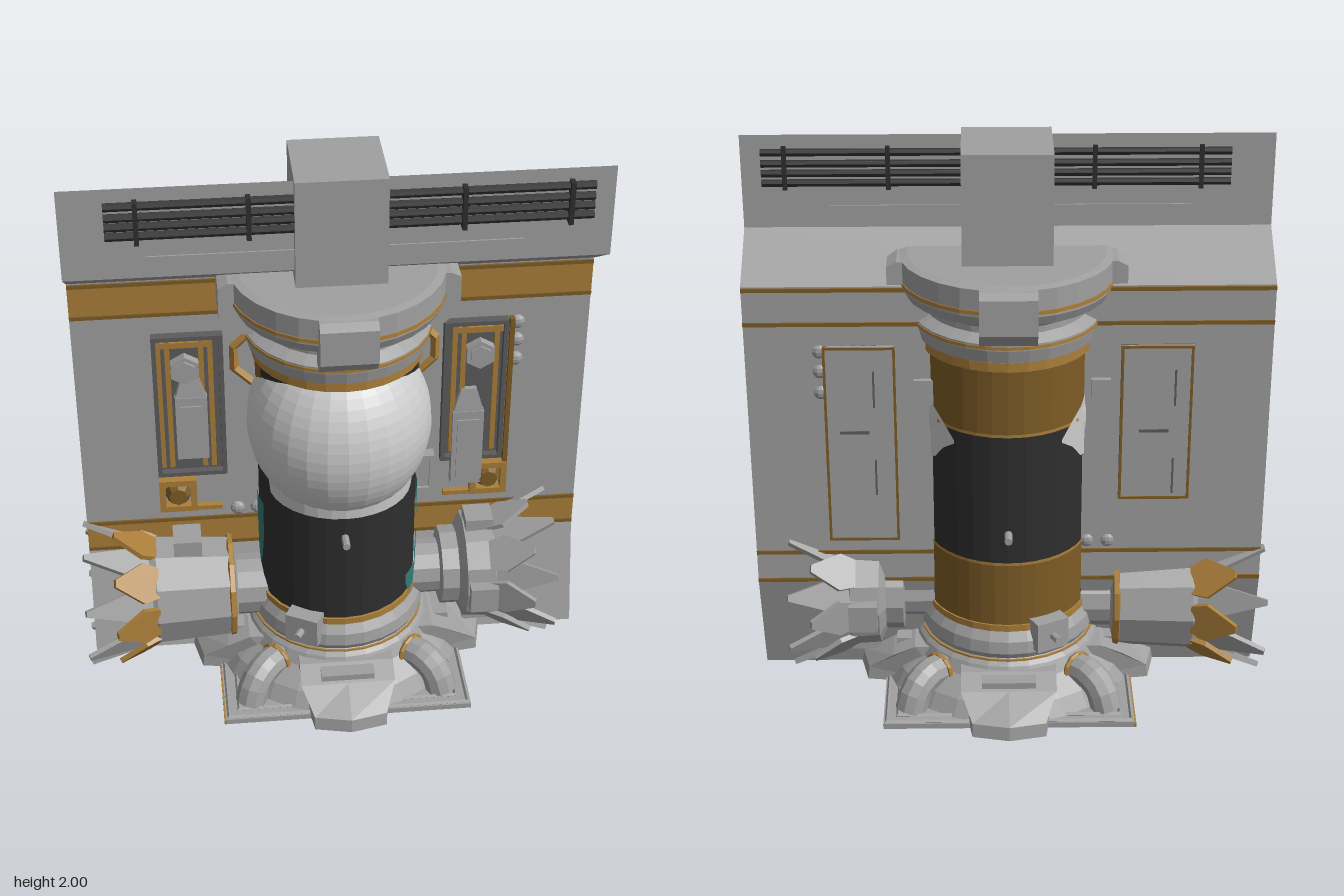
import * as THREE from 'three';

const mat = (color) => new THREE.MeshStandardMaterial({ color, flatShading: true, side: THREE.DoubleSide });
const GREY = mat(0xa0a0a0), GOLD = mat(0xab7f3a), BRONZE = mat(0x7d5c26),
  BLACK = mat(0x2e2e2e), WHITE = mat(0xffffff), TEAL = mat(0x347a75), DARK = mat(0x5c5c5c);
const AXIS = 0.015; // tower axis in x

function add(parent, name, geo, material, x = 0, y = 0, z = 0) {
  const m = new THREE.Mesh(geo, material);
  m.name = name;
  m.position.set(x, y, z);
  parent.add(m);
  return m;
}
function group(parent, name, x = 0, y = 0, z = 0) {
  const g = new THREE.Group();
  g.name = name;
  g.position.set(x, y, z);
  parent.add(g);
  return g;
}
// box given by its limits
const box = (p, name, m, x0, x1, y0, y1, z0, z1) =>
  add(p, name, new THREE.BoxGeometry(x1 - x0, y1 - y0, z1 - z0), m, (x0 + x1) / 2, (y0 + y1) / 2, (z0 + z1) / 2);
const lathe = (pts, n) => new THREE.LatheGeometry(pts.map((p) => new THREE.Vector2(...p)), n);
const outline = (pts) => new THREE.Shape(pts.map((p) => new THREE.Vector2(...p)));
const deg = THREE.MathUtils.degToRad;
// open piece of cylinder wall
const arc = (r, y0, y1, a0, a1, n = 14) =>
  new THREE.CylinderGeometry(r, r, y1 - y0, n, 1, true, deg(a0), deg(a1 - a0)).translate(0, (y0 + y1) / 2, 0);
// four thin bars around a rectangle
function frame(p, name, m, x0, x1, y0, y1, z0, z1, t) {
  const g = group(p, name);
  for (const x of [x0, x1 - t]) box(g, name + 'Side', m, x, x + t, y0, y1, z0, z1);
  for (const y of [y0, y1 - t]) box(g, name + 'Rail', m, x0 + t, x1 - t, y, y + t, z0, z1);
}

function buildWall(root) {
  const wall = group(root, 'backWall');
  // folded sheet: upright sign board, sloping shoulder, flat middle, leaning foot
  const folds = [[0.1, 1.99], [0.1, 1.7], [-0.09, 1.58], [-0.09, 0.57], [0, 0.22]];
  const sheet = new THREE.PlaneGeometry(1.6, 1, 1, folds.length - 1);
  const p = sheet.attributes.position;
  for (let i = 0; i < p.count; i++) {
    const [z, y] = folds[Math.floor(i / 2)];
    p.setXYZ(i, p.getX(i) + 0.01, y, z);
  }
  add(wall, 'wallSheet', sheet, GREY);
  for (const [y0, y1] of [[1.46, 1.57], [0.58, 0.68]]) {
    add(wall, 'goldBand', new THREE.PlaneGeometry(1.6, y1 - y0), GOLD, 0.01, (y0 + y1) / 2, -0.087);
    for (const y of [y0, y1]) box(wall, 'bandEdge', BRONZE, -0.79, 0.81, y - 0.006, y + 0.006, -0.096, -0.083);
  }
  box(wall, 'signSlot', GREY, -0.55, 0.55, 1.73, 1.77, 0.095, 0.105);
  // pipes sunk halfway into the sign board
  for (const y of [1.84, 1.87, 1.9, 1.935])
    add(wall, 'pipe', new THREE.CylinderGeometry(0.0135, 0.0135, 1.41, 8).rotateZ(Math.PI / 2), BLACK, 0.045, y, 0.104);
  for (const x of [-0.57, -0.25, 0.37, 0.68]) box(wall, 'pipeClamp', BLACK, x - 0.007, x + 0.007, 1.82, 1.955, 0.09, 0.13);

  for (const [x0, x1, y0] of [[-0.55, -0.33, 0.87], [0.355, 0.575, 0.73]]) {
    const right = x0 > 0;
    const c = right ? 0.47 : -0.45;
    const bay = group(wall, 'wallBay');
    box(bay, 'bayBacking', DARK, x0, right ? 0.555 : x1, 0.87, 1.39, -0.09, -0.084);
    if (right) {
      box(bay, 'tallGoldPost', BRONZE, 0.56, 0.575, 0.73, 1.39, -0.1, -0.065);
      frame(bay, 'bayFrame', DARK, 0.355, 0.555, 0.87, 1.39, -0.09, -0.06, 0.014);
    } else frame(bay, 'bayFrame', DARK, x0, x1, y0, 1.39, -0.1, -0.06, 0.014);
    for (const dx of [-0.08, -0.052, 0.052, 0.08]) box(bay, 'goldRod', GOLD, c + dx - 0.008, c + dx + 0.008, 0.9, 1.37, -0.09, -0.07);
    box(bay, 'goldRodTop', GOLD, c - 0.08, c + 0.08, 1.345, 1.365, -0.09, -0.07);
    add(bay, 'hexNut', new THREE.CylinderGeometry(0.05, 0.05, 0.03, 6).rotateX(Math.PI / 2), GREY, c, 1.27, -0.07);
    add(bay, 'hexCore', new THREE.CylinderGeometry(0.036, 0.036, 0.01, 6).rotateX(Math.PI / 2), GREY, c, 1.27, -0.052);
    // canister with a tapered shoulder
    const [cx, cy0, cy1] = right ? [0.44, 0.78, 1.06] : [-0.435, 0.94, 1.17];
    box(bay, 'canister', GREY, cx - 0.05, cx + 0.05, cy0, cy1, -0.09, -0.055);
    box(bay, 'canisterFace', GREY, cx - 0.035, cx + 0.035, cy0 + 0.02, cy1 - 0.03, -0.06, -0.05);
    const neck = new THREE.CylinderGeometry(0.035, 0.068, 0.08, 4, 1).rotateY(Math.PI / 4).scale(1, 1, 0.35);
    add(bay, 'canisterShoulder', neck, GREY, cx, cy1 + 0.04, -0.074);
    // gold fitting at the foot of the bay
    const bx = right ? 0.515 : -0.49;
    frame(bay, 'goldBox', GOLD, bx - 0.06, bx + 0.06, 0.73, 0.85, -0.09, -0.06, 0.02);
    const knob = new THREE.CylinderGeometry(0.03, 0.045, 0.03, 8).rotateX(Math.PI / 2);
    add(bay, 'goldBoxKnob', knob, BRONZE, bx, 0.79, -0.07);
    box(bay, 'goldFootRail', GOLD, c - 0.1, c + 0.1, 0.725, 0.74, -0.09, -0.07);
    // rear hatch
    box(bay, 'rearHatch', GREY, x0, x1, y0, 1.39, -0.104, -0.092);
    frame(bay, 'rearHatchFrame', BRONZE, x0, x1, y0, 1.39, -0.108, -0.092, 0.008);
    box(bay, 'rearSlot', DARK, c - 0.03, c + 0.06, 1.1, 1.11, -0.107, -0.1);
    for (const y of [0.95, 1.25]) box(bay, 'rearSeam', DARK, c - 0.05, c - 0.044, y - 0.06, y + 0.06, -0.107, -0.1);
    // eight-sided frame beside the globe
    const octagon = new THREE.TorusGeometry(0.1, 0.015, 4, 8).rotateZ(Math.PI / 8);
    add(wall, 'goldOctagon', octagon, GOLD, right ? 0.235 : -0.205, 1.3, -0.075);
    box(wall, 'rearBox', GREY, right ? 0.24 : -0.3, right ? 0.3 : -0.24, 1.2, 1.28, -0.11, -0.092);
  }
  for (const [x, y] of [[0.585, 1.37], [0.585, 1.305], [0.585, 1.235], [-0.3, 0.715], [-0.235, 0.715]])
    add(wall, 'rivet', new THREE.SphereGeometry(0.024, 10, 6).scale(1, 1, 0.6), GREY, x, y, -0.085);
  frame(wall, 'smallBoxRim', GREY, 0.26, 0.335, 0.76, 0.9, -0.09, -0.05, 0.015);
  box(wall, 'smallBox', GREY, 0.27, 0.325, 0.77, 0.89, -0.09, -0.06);
}

function buildTower(root) {
  const t = group(root, 'tower', AXIS);
  add(t, 'column', new THREE.CylinderGeometry(0.25, 0.25, 0.95, 28), BLACK, 0, 0.925, 0);
  add(t, 'rearBronzeTop', arc(0.252, 1.16, 1.38, 72, 288, 20), BRONZE);
  add(t, 'rearBronzeBottom', arc(0.252, 0.5, 0.72, 112, 248), BRONZE);
  for (const [y, a] of [[1.16, 100], [0.72, 112]]) add(t, 'bronzeEdge', arc(0.254, y - 0.005, y + 0.005, a, 360 - a), GOLD);
  // globe bulging from the front of the column
  const globe = add(t, 'globe', new THREE.SphereGeometry(1, 28, 14, 0, Math.PI * 2, 0.74, 1.52), WHITE, 0, 1.15, 0.06);
  globe.scale.set(0.285, 0.31, 0.29);
  const collar = lathe([[0.24, 0.92], [0.28, 0.92], [0.285, 0.97], [0.24, 0.975]], 32);
  add(t, 'globeCollar', collar, WHITE, 0, 0, 0.08).scale.set(0.8, 1, 0.72);
  // white coat running to a ragged point behind the globe
  for (const s of [1, -1]) {
    const coat = arc(0.2545, 1.0, 1.3, 85, 140, 5);
    const p = coat.attributes.position;
    [[1.3, 0.98], [1.27, 1.0], [1.24, 1.02], [1.2, 1.03], [1.17, 1.08], [1.12, 1.11]].forEach(([top, low], i) => {
      p.setY(i, top);
      p.setY(i + 6, low);
    });
    add(t, 'whiteCoat', coat, WHITE).scale.x = s;
  }
  // teal stains wrapped on the column
  for (const [a, y0, y1, w] of [[83, 0.73, 0.86, 24], [64, 0.47, 0.58, 20], [80, 0.5, 0.66, 16], [-80, 0.59, 0.85, 18]]) {
    const g = arc(0.2555, y0, y1, a - w / 2, a + w / 2, 4);
    const p = g.attributes.position;
    for (let i = 0; i < 5; i++) p.setY(i + 5, p.getY(i + 5) + (y1 - y0) * [0.75, 0.2, 0, 0.1, 0.5][i]);
    add(t, 'tealStain', g, TEAL);
  }
  // bolts in the column, the lower pair on plates
  for (const [a, y] of [[0, 0.825], [180, 0.825], [-28, 0.47], [208, 0.47]]) {
    const g = group(t, 'bolt');
    g.rotation.y = deg(a);
    const plated = a % 180 !== 0;
    const rod = new THREE.CylinderGeometry(0.012, 0.012, 0.12, 8).rotateX(Math.PI / 2);
    add(g, 'boltRod', rod, GREY, 0, y, plated ? 0.275 : 0.24);
    if (plated) box(g, 'boltPlate', GREY, -0.055, 0.055, 0.42, 0.52, 0.22, 0.3);
  }
  // stacked collar rings and cap
  add(t, 'upperRings', lathe([[0.25, 1.4], [0.275, 1.41], [0.285, 1.45], [0.285, 1.47], [0.25, 1.49], [0.25, 1.51], [0.31, 1.54],
    [0.325, 1.57], [0.325, 1.655], [0.3, 1.66], [0, 1.66]], 28), GREY);
  const goldRing = (r, y0, y1) => add(t, 'goldRing', new THREE.CylinderGeometry(r, r, y1 - y0, 28), GOLD, 0, (y0 + y1) / 2, 0);
  goldRing(0.265, 1.375, 1.405);
  goldRing(0.288, 1.455, 1.465);
  goldRing(0.328, 1.578, 1.59);
  goldRing(0.258, 0.48, 0.502);
  goldRing(0.278, 0.375, 0.388);
  add(t, 'lowerRings', lathe([[0.4, 0.23], [0.37, 0.28], [0.31, 0.33], [0.29, 0.37], [0.27, 0.39], [0.28, 0.41],
    [0.275, 0.45], [0.255, 0.48], [0.2, 0.48]], 28), GREY);
  for (let i = 0; i < 4; i++) {
    const g = group(t, 'capLug');
    g.rotation.y = i * Math.PI / 2;
    const lug = new THREE.ExtrudeGeometry(outline([[0.26, 1.48], [0.31, 1.48], [0.36, 1.53], [0.36, 1.64], [0.33, 1.655], [0.26, 1.655]]),
      { depth: 0.17, bevelEnabled: false });
    add(g, 'lugBlock', lug.translate(0, 0, -0.085), GREY);
  }
  box(t, 'topBlock', GREY, -0.135, 0.135, 1.65, 2, -0.135, 0.135);
}

function buildBase(root) {
  const b = group(root, 'base', AXIS);
  box(b, 'basePlate', GREY, -0.395, 0.395, 0.212, 0.23, -0.395, 0.395);
  for (const s of [0.385, 0.35]) {
    const ring = add(b, 'plateStep', new THREE.TorusGeometry(s * Math.SQRT2, 0.008, 4, 4), GREY, 0, 0.231, 0);
    ring.rotation.set(Math.PI / 2, 0, Math.PI / 4);
  }
  box(b, 'goldPlateEdge', GOLD, -0.4, -0.393, 0.212, 0.225, -0.395, 0.395);
  for (let i = 0; i < 4; i++) {
    const q = group(b, 'baseQuarter');
    q.rotation.y = i * Math.PI / 2;
    // wedge foot, narrowing outward to a shallow point
    const foot = new THREE.ExtrudeGeometry(outline([[0.2, 0.22], [0.48, 0.22], [0.475, 0.265], [0.37, 0.33], [0.3, 0.36], [0.2, 0.36]]),
      { depth: 2, steps: 2, bevelEnabled: false }).translate(0, 0, -1);
    const p = foot.attributes.position;
    for (let k = 0; k < p.count; k++) {
      const x = p.getX(k), z = p.getZ(k);
      if (x > 0.45 && Math.abs(z) > 0.1) p.setX(k, x - 0.025);
      p.setZ(k, z * (x > 0.45 ? 0.115 : 0.15));
    }
    add(q, 'wedgeFoot', foot, GREY);
    box(q, 'footStep', GREY, 0.25, 0.36, 0.3, 0.355, -0.085, 0.085);
    // diagonal elbow pipe
    const d = group(q, 'elbowPipe');
    d.rotation.y = Math.PI / 4;
    const path = new THREE.CatmullRomCurve3([[0.27, 0.31], [0.35, 0.325], [0.41, 0.295], [0.44, 0.225]].map(([x, y]) => new THREE.Vector3(x, y, 0)));
    add(d, 'elbow', new THREE.TubeGeometry(path, 8, 0.05, 10), GREY);
    add(d, 'elbowGoldRing', new THREE.TorusGeometry(0.052, 0.009, 6, 12).rotateY(Math.PI / 2), GOLD, 0.31, 0.318, 0);
    box(q, 'plateVent', BLACK, 0.24, 0.3, 0.21, 0.213, 0.2, 0.23);
  }
  // hanging keel panel with a rounded rim
  add(b, 'keelRing', new THREE.TorusGeometry(0.085, 0.014, 6, 12).rotateX(Math.PI / 2), GOLD, 0, 0.212, 0);
  add(b, 'keelChevron', new THREE.CylinderGeometry(0.1, 0.04, 0.035, 6, 1, true), GOLD, 0, 0.185, 0).scale.z = 0.15;
  add(b, 'keelPanel', new THREE.PlaneGeometry(0.4, 0.205), GREY, 0, 0.1175, 0);
  const rim = new THREE.CurvePath();
  const pts = [[-0.2, 0.22], [-0.2, 0.025], [-0.185, 0.01], [0.185, 0.01], [0.2, 0.025], [0.2, 0.22]].map(([x, y]) => new THREE.Vector3(x, y, 0));
  for (let i = 1; i < pts.length; i++) rim.add(new THREE.LineCurve3(pts[i - 1], pts[i]));
  add(b, 'keelRim', new THREE.TubeGeometry(rim, 60, 0.007, 6), GREY);
}

// ring of eight flat blades around the arm axis (+x), spread outward; offset in steps
function claws(arm, name, m, x, r, len, half, tip, tilt, offset) {
  const shape = outline([[0, -half * 0.75], [len * 0.35, -half], [len, -tip], [len, tip], [len * 0.35, half], [0, half * 0.75]]);
  for (let i = 0; i < 8; i++) {
    const g = group(arm, name);
    g.rotation.x = (i + offset) * Math.PI / 4;
    const blade = new THREE.ExtrudeGeometry(shape, { depth: 0.016, bevelEnabled: false });
    add(g, name + 'Blade', blade.rotateX(-Math.PI / 2), m, x, r, 0).rotation.z = tilt;
  }
}

function buildArms(root) {
  const turn = (pts, n) => lathe(pts, n).rotateZ(-Math.PI / 2);
  const right = group(root, 'rightArm', AXIS, 0.465, 0);
  right.rotation.y = Math.PI;
  add(right, 'neck', turn([[0.1, 0.2], [0.1, 0.33], [0.16, 0.345]], 12), GREY);
  add(right, 'goldCollar', turn([[0.1, 0.335], [0.167, 0.34], [0.17, 0.355], [0.16, 0.36]], 12), GOLD);
  add(right, 'barrel', turn([[0.165, 0.355], [0.18, 0.59], [0.165, 0.62], [0.11, 0.62], [0.1, 0.52], [0, 0.52]], 10), GREY);
  claws(right, 'goldPetal', GOLD, 0.59, 0.155, 0.15, 0.065, 0.012, 0.45, 0);
  claws(right, 'claw', GREY, 0.6, 0.145, 0.235, 0.05, 0.009, 0.36, 0.5);
  claws(right, 'goldLining', GOLD, 0.598, 0.141, 0.15, 0.052, 0.03, 0.36, 0.5);
  box(right, 'barrelBlock', GREY, 0.44, 0.53, 0.15, 0.22, -0.05, 0.05);

  const left = group(root, 'leftArm', AXIS, 0.495, 0);
  add(left, 'neck', turn([[0.09, 0.2], [0.09, 0.33], [0.13, 0.335], [0.13, 0.39], [0.175, 0.41], [0.18, 0.5],
    [0.15, 0.54], [0.135, 0.54], [0.13, 0.52], [0.08, 0.52], [0.08, 0.48], [0, 0.48]], 12), GREY);
  claws(left, 'claw', GREY, 0.5, 0.155, 0.21, 0.05, 0.009, 0.38, 0.5);
  claws(left, 'innerClaw', GREY, 0.49, 0.16, 0.15, 0.06, 0.012, 0.45, 0);
  for (let i = 0; i < 4; i++) {
    const g = group(left, 'hubBlock');
    g.rotation.x = i * Math.PI / 2;
    box(g, 'hubTooth', GREY, 0.415, 0.505, 0.15, 0.205, -0.045, 0.045);
  }
}

export function createModel() {
  const root = new THREE.Group();
  root.name = 'towerMachine';
  buildWall(root);
  buildTower(root);
  buildBase(root);
  buildArms(root);
  return root;
}
